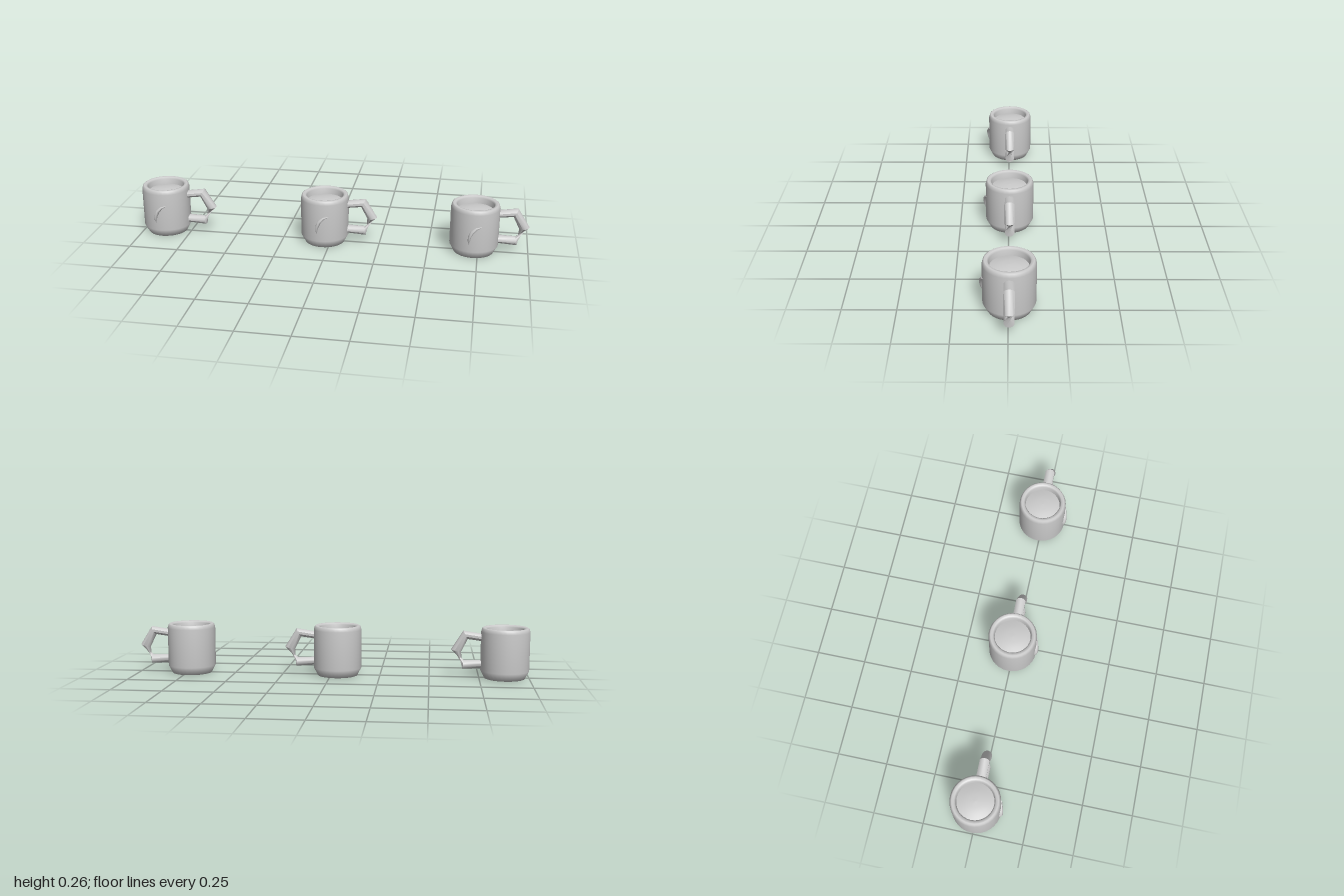
import * as THREE from 'three';
import { toCreasedNormals } from 'three/addons/utils/BufferGeometryUtils.js';

const V = (x, y, z) => new THREE.Vector3(x, y, z);

// Skin of elliptical rings; each section has a centre and two half axes
function loft(sections, sides) {
  const positions = [], index = [];
  for (const { c, u, v } of sections) {
    for (let j = 0; j < sides; j++) {
      const a = (j / sides) * Math.PI * 2;
      const p = c.clone().addScaledVector(u, Math.cos(a)).addScaledVector(v, Math.sin(a));
      positions.push(p.x, p.y, p.z);
    }
  }
  for (let i = 0; i < sections.length - 1; i++) {
    for (let j = 0; j < sides; j++) {
      const a = i * sides + j, b = i * sides + (j + 1) % sides;
      index.push(a, b, a + sides, b, b + sides, a + sides);
    }
  }
  const geometry = new THREE.BufferGeometry();
  geometry.setAttribute('position', new THREE.Float32BufferAttribute(positions, 3));
  geometry.setIndex(index);
  geometry.computeVertexNormals();
  return geometry;
}

function lathe(points) {
  return new THREE.LatheGeometry(points.map(([r, y]) => new THREE.Vector2(r, y)), 32);
}

// Chamfered cup with a rounded rim and a short inner wall
function cupGeometry() {
  return lathe([
    [0, 0], [0.101, 0], [0.122, 0.04], [0.122, 0.235], [0.117, 0.252],
    [0.111, 0.256], [0.099, 0.254], [0.092, 0.246], [0.09, 0.21],
  ]);
}

// Angular handle; the last bend is twisted half a turn, which pinches it
function handleGeometry() {
  const rings = [ // outer x, y, inner x, y, side of z
    [0.105, 0.222, 0.105, 0.184, 1],
    [0.21, 0.238, 0.187, 0.195, 1],
    [0.27, 0.142, 0.219, 0.131, 1],
    [0.205, 0.088, 0.213, 0.043, -1],
    [0.105, 0.091, 0.105, 0.05, -1],
  ];
  const sections = rings.map(([ox, oy, ix, iy, s]) => ({
    c: V((ox + ix) / 2, (oy + iy) / 2, 0),
    u: V((ox - ix) / 2, (oy - iy) / 2, 0),
    v: V(0, 0, 0.025 * s),
  }));
  return toCreasedNormals(loft(sections, 10), 0.7);
}

// Raised crescent on the front, thickest above its middle
function crescentGeometry() {
  const path = [ // x, y, half width, half depth
    [0.037, 0.175, 0.001, 0.003], [0.013, 0.166, 0.007, 0.012],
    [-0.008, 0.147, 0.011, 0.018], [-0.02, 0.12, 0.009, 0.018],
    [-0.023, 0.097, 0.006, 0.012], [-0.021, 0.081, 0.001, 0.004],
  ];
  const sections = path.map(([x, y, w, d], i) => {
    const a = path[Math.max(i - 1, 0)], b = path[Math.min(i + 1, path.length - 1)];
    const t = V(b[0] - a[0], b[1] - a[1], 0).normalize();
    return { c: V(x, y, 0.117), u: V(-t.y, t.x, 0).multiplyScalar(w), v: V(0, 0, d) };
  });
  return loft(sections, 8);
}

export function createModel() {
  const model = new THREE.Group();
  model.name = 'mugs';
  const ceramic = new THREE.MeshStandardMaterial({ color: 0xcccccc });
  ceramic.name = 'light grey';
  ceramic.side = THREE.DoubleSide;

  const parts = {
    cup: cupGeometry(),
    drink: lathe([[0.091, 0.218], [0.06, 0.226], [0.03, 0.23], [0, 0.231]]),
    handle: handleGeometry(),
    crescent: crescentGeometry(),
  };

  // Three identical mugs in a row
  [-0.878, -0.033, 0.728].forEach((x) => {
    const mug = new THREE.Group();
    mug.name = 'mug';
    for (const [name, geometry] of Object.entries(parts)) {
      const mesh = new THREE.Mesh(geometry, ceramic);
      mesh.name = name;
      mug.add(mesh);
    }
    mug.position.set(x, 0, -0.005);
    model.add(mug);
  });
  return model;
}
